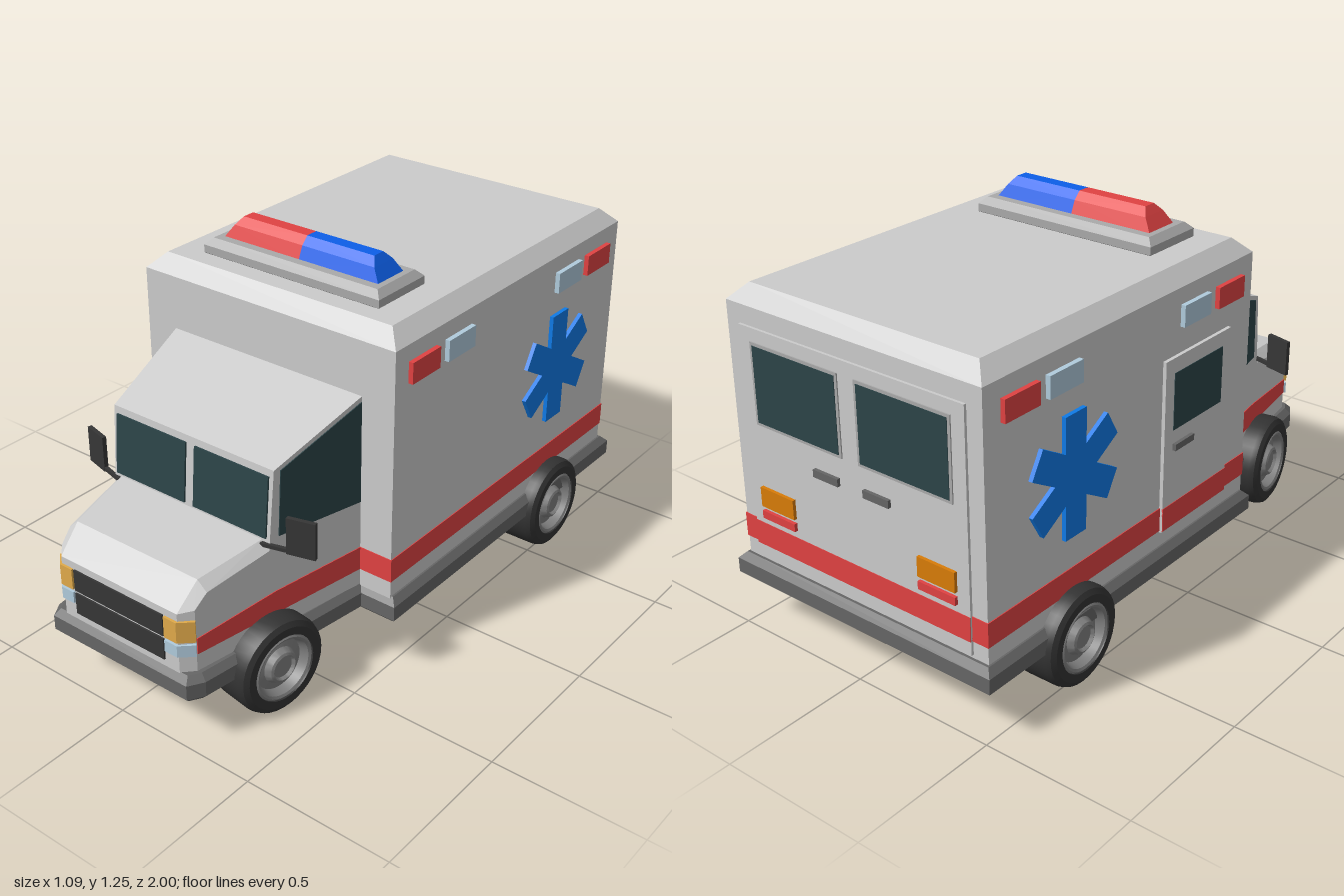
import * as THREE from 'three';
import { ConvexGeometry } from 'three/addons/geometries/ConvexGeometry.js';
import { toCreasedNormals } from 'three/addons/utils/BufferGeometryUtils.js';

const COLORS = {
  body: 0xcccccc, red: 0xe04242, blue: 0x0f7ae6, lampBlue: 0x0d5fe8, glass: 0x2c4448,
  trim: 0x666666, dark: 0x363636, floor: 0x404040, clear: 0xb0cbdc, amber: 0xe0aa4a,
  orange: 0xd87c08, tyre: 0x333333, rim: 0x808080, base: 0xaaaaaa,
};
const materials = {};
for (const key in COLORS) materials[key] = new THREE.MeshStandardMaterial({ color: COLORS[key] });

// Half width of the tapering cab, and of the box
const cabX = (z) => 0.372 - 0.16 * (z - 0.31);
const boxX = () => 0.49;

export function createModel() {
  const root = new THREE.Group();

  function add(name, geometry, color, x = 0, y = 0, z = 0, parent = root) {
    const mesh = new THREE.Mesh(geometry, materials[color]);
    mesh.name = name;
    mesh.position.set(x, y, z);
    parent.add(mesh);
    return mesh;
  }
  const block = (name, color, w, h, d, x, y, z) => add(name, new THREE.BoxGeometry(w, h, d), color, x, y, z);

  // Hull of points, optionally mirrored across x
  function hull(name, color, pts, mirror = true) {
    const all = pts.map((p) => new THREE.Vector3(...p));
    if (mirror) all.push(...pts.map(([x, y, z]) => new THREE.Vector3(-x, y, z)));
    return add(name, new ConvexGeometry(all), color);
  }

  // Plan outline (right half, [x, z]) mirrored and raised from y0 to y1 with chamfered edges
  function slab(name, color, half, y0, y1, bevel) {
    const outline = [...half, ...half.map(([x, z]) => [-x, z]).reverse()];
    const shape = new THREE.Shape(outline.map(([x, z]) => new THREE.Vector2(x, -z)));
    const geometry = new THREE.ExtrudeGeometry(shape, {
      depth: y1 - y0 - 2 * bevel, bevelEnabled: bevel > 0, bevelSize: bevel,
      bevelThickness: bevel, bevelOffset: -bevel, bevelSegments: 1,
    });
    geometry.rotateX(-Math.PI / 2);
    return add(name, geometry, color, 0, y0 + bevel, 0);
  }

  // Thin panel of [z, y] points lying on a side wall
  function sidePanel(name, color, pts, side, wallX, thick) {
    const shape = new THREE.Shape(pts.map(([z, y]) => new THREE.Vector2(-side * z, y)));
    const geometry = new THREE.ExtrudeGeometry(shape, { depth: thick, bevelEnabled: false });
    const p = geometry.attributes.position;
    for (let i = 0; i < p.count; i++) {
      const z = -side * p.getX(i);
      p.setXYZ(i, side * (wallX(z) + p.getZ(i)), p.getY(i), z);
    }
    geometry.computeVertexNormals();
    return add(name, geometry, color);
  }
  const rect = (z0, z1, y0, y1) => [[z0, y0], [z1, y0], [z1, y1], [z0, y1]];

  // Rear box
  slab('boxBody', 'body', [[0.49, -0.97], [0.49, 0.31]], 0.18, 1.14, 0.05);
  block('boxStripe', 'red', 0.986, 0.08, 1.286, 0, 0.345, -0.33);

  // Skirt, front bumper and floor
  const skirt = [[0.517, -1], [0.517, 0.325], [cabX(0.325) + 0.02, 0.325], [0.305, 0.95], [0.275, 1]];
  slab('skirtAndBumper', 'trim', skirt, 0.156, 0.248, 0.021);
  slab('floor', 'floor', skirt.map(([x, z]) => [x - 0.025, z > 0.9 || z < 0 ? z * 0.975 : 0.3]), 0.153, 0.17, 0);

  // Lower cab with hood
  hull('cabAndHood', 'body', [
    [cabX(0.3), 0.23, 0.3], [cabX(0.3), 0.54, 0.3], [0.34, 0.57, 0.3],
    [cabX(0.67), 0.535, 0.67], [0.285, 0.563, 0.67],
    [cabX(0.9), 0.5, 0.9], [0.243, 0.53, 0.9],
    [cabX(0.945), 0.23, 0.945], [cabX(0.945), 0.46, 0.945],
    [0.235, 0.23, 0.982], [0.235, 0.452, 0.982],
  ]);
  // Upper cab with sloping roof
  hull('cabUpper', 'body', [
    [cabX(0.3), 0.52, 0.3], [cabX(0.3), 0.914, 0.3],
    [cabX(0.672), 0.52, 0.672], [cabX(0.648), 0.795, 0.648],
  ]);

  // Windscreen panes
  for (const s of [-1, 1]) {
    const pane = block('windscreen', 'glass', 0.285, 0.2, 0.01, s * 0.16, 0.672, 0.66);
    pane.rotation.x = -0.087;
  }

  // Grille
  block('grilleUpper', 'dark', 0.362, 0.073, 0.02, 0, 0.391, 0.978);
  block('grilleLower', 'dark', 0.362, 0.073, 0.02, 0, 0.308, 0.978);

  // Star outline with six square-ended arms
  const star = [];
  for (let k = 0; k < 6; k++) {
    const a = Math.PI / 2 + k * Math.PI / 3;
    const c = Math.cos(a), n = Math.sin(a);
    for (const w of [-0.047, 0.047]) star.push([-0.6 + 0.195 * c - w * n, 0.69 + 0.195 * n + w * c]);
    star.push([-0.6 + 0.094 * Math.cos(a + Math.PI / 6), 0.69 + 0.094 * Math.sin(a + Math.PI / 6)]);
  }

  for (const s of [-1, 1]) {
    // Side markings and marker lamps
    sidePanel('star', 'blue', star, s, boxX, 0.014);
    for (const [z0, z1, color] of [[0.105, 0.245, 'red'], [-0.08, 0.06, 'clear'], [-0.715, -0.57, 'clear'], [-0.9, -0.755, 'red']])
      sidePanel('markerLamp', color, rect(z0, z1, 0.965, 1.035), s, boxX, 0.016);

    // Cab stripe and side window
    sidePanel('cabStripe', 'red', [[0.31, 0.305], [0.943, 0.308], [0.943, 0.362], [0.65, 0.385], [0.31, 0.385]], s, cabX, 0.003);
    sidePanel('sideWindow', 'glass', [[0.313, 0.55], [0.635, 0.572], [0.625, 0.788], [0.313, 0.893]], s, cabX, 0.003);

    // Headlights wrapping the nose corner
    const lamp = (name, color, y0, y1) => {
      const pts = [];
      for (const y of [y0, y1])
        for (const [x, z] of [[0.187, 0.96], [0.187, 0.99], [0.236, 0.99], [0.277, 0.952], [0.26, 0.93]]) pts.push([s * x, y, z]);
      hull(name, color, pts, false);
    };
    lamp('headlight', 'amber', 0.356, 0.427);
    lamp('indicator', 'clear', 0.306, 0.346);

    // Mirror on its arm
    block('mirror', 'dark', 0.092, 0.122, 0.014, s * 0.413, 0.604, 0.643).rotation.y = s * 0.26;
    block('mirrorArm', 'dark', 0.11, 0.012, 0.012, s * 0.34, 0.553, 0.663).rotation.y = s * 0.26;

    // Rear doors: window, handle and lamps
    block('rearWindowFrame', 'base', 0.355, 0.265, 0.01, s * 0.21, 0.855, -0.978);
    block('rearWindow', 'glass', 0.335, 0.245, 0.014, s * 0.21, 0.855, -0.978);
    block('rearHandle', 'trim', 0.1, 0.025, 0.02, s * 0.1, 0.642, -0.98);
    block('rearIndicator', 'orange', 0.14, 0.065, 0.02, s * 0.32, 0.483, -0.98);
    block('brakeLamp', 'red', 0.14, 0.026, 0.02, s * 0.32, 0.423, -0.98);

    // Roof lamps
    const lens = [];
    for (const [y, x, hz] of [[1.18, 0.307, 0.067], [1.23, 0.273, 0.046], [1.255, 0.255, 0.022]])
      for (const z of [-hz, hz]) lens.push([0, y, 0.08 + z], [s * x, y, 0.08 + z]);
    hull('roofLamp', s < 0 ? 'red' : 'lampBlue', lens, false);
  }

  // Rear door panel and its stripe
  block('rearDoors', 'body', 0.87, 0.77, 0.02, 0, 0.645, -0.969);
  block('rearStripe', 'red', 0.87, 0.08, 0.02, 0, 0.345, -0.971);

  // Roof lamp base
  slab('roofLampBase', 'base', [[0.343, -0.035], [0.343, 0.195]], 1.12, 1.19, 0.022);

  // Side door, on one side only
  sidePanel('sideDoor', 'body', rect(-0.165, 0.185, 0.3, 0.88), -1, boxX, 0.012);
  sidePanel('sideDoorStripe', 'red', rect(-0.165, 0.185, 0.305, 0.385), -1, boxX, 0.014);
  sidePanel('sideDoorWindow', 'glass', rect(-0.12, 0.14, 0.64, 0.83), -1, boxX, 0.014);
  sidePanel('sideDoorHandle', 'trim', rect(-0.12, -0.02, 0.572, 0.594), -1, boxX, 0.024);

  // Wheels, with the outer face at the group origin
  const lathe = (pts) => {
    const g = new THREE.LatheGeometry(pts.map(([r, y]) => new THREE.Vector2(r, y)), 36);
    g.rotateZ(-Math.PI / 2);
    return toCreasedNormals(g, 0.5);
  };
  const tyre = lathe([[0, -0.165], [0.135, -0.165], [0.154, -0.152], [0.16, -0.135], [0.16, -0.03],
    [0.154, -0.012], [0.138, -0.002], [0.112, -0.002], [0.108, -0.03]]);
  const rim = lathe([[0.112, -0.008], [0.104, -0.002], [0.096, -0.006], [0.086, -0.035], [0.06, -0.028],
    [0.05, -0.008], [0.042, -0.004], [0.036, -0.014], [0, -0.014]]);
  for (const s of [-1, 1]) {
    for (const [name, x, z, turn] of [['frontWheel', 0.39, 0.695, Math.atan(0.16)], ['rearWheel', 0.545, -0.6, 0]]) {
      const wheel = new THREE.Group();
      wheel.name = name;
      wheel.position.set(s * x, 0.16, z);
      wheel.rotation.y = s > 0 ? -turn : Math.PI + turn;
      add('tyre', tyre, 'tyre', 0, 0, 0, wheel);
      add('rim', rim, 'rim', 0, 0, 0, wheel);
      root.add(wheel);
    }
  }
  return root;
}
